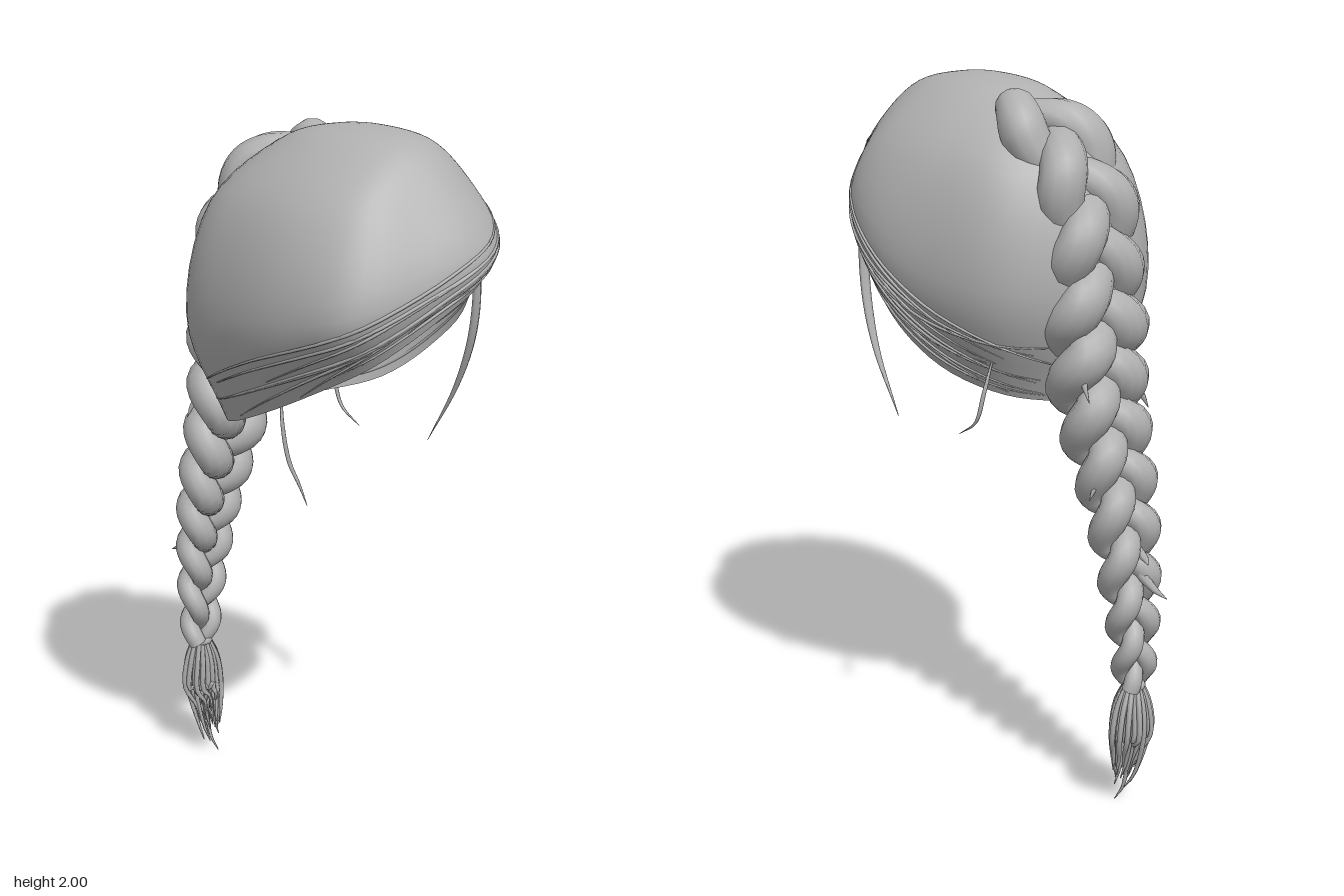
import * as THREE from 'three';

const V = (x, y, z) => new THREE.Vector3(x, y, z);
const curve = (a, closed = false) => {
  const pts = [];
  for (let i = 0; i < a.length; i += 3) pts.push(V(a[i], a[i + 1], a[i + 2]));
  return new THREE.CatmullRomCurve3(pts, closed);
};

let seed = 7;
const rand = (a, b) => {
  seed = (seed * 16807) % 2147483647;
  return a + (b - a) * (seed / 2147483647);
};

// Indexed grid of quads, joined round in u.
function grid(nu, nv, point) {
  const pos = [], idx = [];
  for (let j = 0; j <= nv; j++)
    for (let i = 0; i < nu; i++) pos.push(...point(i / nu, j / nv).toArray());
  for (let j = 0; j < nv; j++)
    for (let i = 0; i < nu; i++) {
      const a = j * nu + i, b = j * nu + (i + 1) % nu;
      idx.push(a, a + nu, b, b, a + nu, b + nu);
    }
  const g = new THREE.BufferGeometry();
  g.setAttribute('position', new THREE.Float32BufferAttribute(pos, 3));
  g.setIndex(idx);
  g.computeVertexNormals();
  return g;
}

// Round or flattened lock of hair swept along a path, with changing radius.
function lock(path, radius, segs, sides, flat = 1) {
  const rings = [];
  for (let j = 0; j <= segs; j++) {
    const t = j / segs, e = 0.004;
    const T = path(Math.min(1, t + e)).sub(path(Math.max(0, t - e))).normalize();
    const n = V(0, 0, 0).crossVectors(T, V(1, 0, 0)).normalize();
    rings.push({ p: path(t), n, b: V(0, 0, 0).crossVectors(T, n), r: radius(t) });
  }
  return grid(sides, segs, (u, v) => {
    const { p, n, b, r } = rings[Math.round(v * segs)], a = -u * Math.PI * 2;
    return p.clone().addScaledVector(n, Math.cos(a) * r * flat).addScaledVector(b, Math.sin(a) * r);
  });
}

// Rings of the cap, running from the front towards +x and round the back.
const N = 15;
const rim = curve([
  0, 1.61, .53, .1, 1.66, .5, .2, 1.72, .37, .265, 1.5, .33, .3, 1.36, .2,
  .27, 1.24, .04, .2, 1.18, -.14, .08, 1.16, -.25, 0, 1.15, -.27, -.08, 1.16, -.25,
  -.2, 1.18, -.14, -.28, 1.25, .04, -.29, 1.34, .23, -.25, 1.43, .39, -.14, 1.53, .49], true);
const belly = curve([
  0, 1.69, .56, .11, 1.73, .52, .21, 1.79, .385, .32, 1.67, .34, .38, 1.58, .2,
  .365, 1.5, .02, .29, 1.46, -.2, .15, 1.46, -.32, 0, 1.46, -.345, -.15, 1.46, -.32,
  -.29, 1.46, -.2, -.37, 1.5, .02, -.385, 1.52, .22, -.35, 1.55, .385, -.18, 1.62, .5], true);
const brow = curve([
  0, 1.87, .455, .11, 1.87, .42, .2, 1.86, .35, .275, 1.83, .28, .305, 1.81, .17,
  .295, 1.8, .02, .24, 1.79, -.15, .11, 1.79, -.255, 0, 1.79, -.275, -.11, 1.79, -.255,
  -.24, 1.79, -.15, -.3, 1.8, .02, -.315, 1.8, .19, -.26, 1.81, .34, -.13, 1.84, .42], true);

function meridian(u) {
  u = ((u % 1) + 1) % 1;
  const a = u * Math.PI * 2;
  const ring = (r, y) => V(Math.sin(a) * r * .7, y, .15 + Math.cos(a) * r);
  return new THREE.CatmullRomCurve3([V(0, 2, .15), ring(.07, 1.997), ring(.21, 1.963),
    brow.getPoint(u), belly.getPoint(u), rim.getPoint(u)]);
}

export function createModel() {
  const hair = new THREE.MeshStandardMaterial({ color: 0xb0b0b0, side: THREE.DoubleSide });
  const model = new THREE.Group();
  const group = name => {
    const g = new THREE.Group();
    g.name = name;
    model.add(g);
    return g;
  };
  const add = (parent, name, geometry) => {
    const m = new THREE.Mesh(geometry, hair);
    m.name = name;
    parent.add(m);
    return m;
  };

  // Smooth open cap with a swept fringe
  const lines = Array.from({ length: 75 }, (_, i) => meridian(i / 75));
  add(model, 'hairCap', grid(75, 28, (u, v) => lines[Math.round(u * 75)].getPoint(v)));

  // Fine strands combed from the parting along the rim, both ways
  const strands = group('rimStrands');
  for (let i = 0; i < 24; i++) {
    const fringe = i % 2 === 0;
    const u0 = (fringe ? 1.9 : 2.2) / N;
    const u1 = u0 + (fringe ? -rand(3, 8) : rand(3, 5.5)) / N;
    const v0 = rand(.7, .98), v1 = rand(.88, 1);
    const pts = Array.from({ length: 13 }, (_, k) => {
      const t = k / 12;
      const p = meridian(u0 + (u1 - u0) * t).getPoint(v0 + (v1 - v0) * t);
      return p.add(p.clone().sub(V(0, 1.6, .1)).normalize().multiplyScalar(.001));
    });
    const c = new THREE.CatmullRomCurve3(pts);
    add(strands, 'rimStrand',
      lock(t => c.getPoint(t), t => .001 + .004 * Math.sin(Math.PI * t), 30, 5));
  }

  // Three-strand braid, lying flat on the head and hanging free below
  const spine = curve([
    .065, 1.945, -.03, .05, 1.885, -.14, .035, 1.775, -.24, .03, 1.63, -.295, .03, 1.45, -.305,
    .03, 1.28, -.31, .025, 1.12, -.34, .02, .95, -.385, .025, .8, -.425, .03, .62, -.455,
    .02, .47, -.46, .015, .37, -.455]);
  const free = s => THREE.MathUtils.smoothstep(s, .32, .45);
  const width = s => {
    const taper = THREE.MathUtils.lerp(.155, .06, Math.max(0, (s - .4) / .6));
    return taper * Math.min(1, .7 + s * 4) * (1 + .08 * free(s));
  };
  const braid = group('braid');
  const turns = s => Math.PI * 2 * 3.75 * Math.pow(s, 1.22);
  for (let k = 0; k < 3; k++) {
    const phase = k * Math.PI * 2 / 3 + .5;
    const path = s => {
      const T = spine.getTangentAt(s), w = width(s), a = turns(s) + phase;
      const out = V(0, 0, 0).crossVectors(V(1, 0, 0), T).normalize();
      return spine.getPointAt(s)
        .add(V(Math.sin(a) * w * .57, 0, 0))
        .addScaledVector(out, Math.sin(2 * a) * w * (.18 + .1 * free(s)));
    };
    // Each strand swells at the outer bends and narrows at the crossings
    const radius = s => {
      const swell = .36 + .09 * Math.abs(Math.sin(turns(s) + phase));
      return width(s) * swell * Math.min(1, .25 + s * 25);
    };
    add(braid, 'braidStrand', lock(path, radius, 150, 12, .86));
  }

  // Short loose ends poking out of the braid
  const ends = [
    [.03, .8, -.44, .03, .76, -.5, .04, .75, -.52],
    [.02, .72, -.46, .01, .67, -.52, 0, .65, -.555],
    [.08, 1.02, -.39, .12, .97, -.4, .145, .93, -.4],
    [-.05, 1.2, -.34, -.09, 1.17, -.37, -.11, 1.13, -.38],
    [.1, 1.3, -.33, .14, 1.25, -.37, .15, 1.2, -.4]];
  const loose = group('looseEnds');
  for (const e of ends) {
    const c = curve(e);
    add(loose, 'looseEnd', lock(t => c.getPoint(t), t => .018 * (1 - t) + .001, 8, 6));
  }

  // Tie and brush of hair at the bottom
  const tie = add(model, 'braidTie', new THREE.TorusGeometry(.022, .012, 8, 20));
  tie.rotation.x = Math.PI / 2;
  tie.position.set(.015, .37, -.455);
  const tuft = group('tuft');
  for (let i = 0; i < 48; i++) {
    const a = i * 2.4, q = Math.sqrt((i + .5) / 48);
    const x = Math.cos(a) * q, z = Math.sin(a) * q;
    const tip = i === 0 ? 0 : rand(.04, .2);
    const c = curve([
      .015 + x * .018, .385, -.455 + z * .018,
      .02 + x * .055, .31, -.455 + z * .048,
      .02 + x * .068, .22, -.452 + z * .055,
      .016 + x * .042, tip + .05, -.43 + z * .04,
      .016 + x * .032 + rand(-.01, .01), tip, -.405 - tip * .2 + z * .025]);
    add(tuft, 'tuftStrand',
      lock(t => c.getPoint(t), t => .0015 + .007 * Math.sin(Math.PI * Math.min(1, .25 + t * .75)), 14, 5));
  }

  // Loose wisps beside the face and neck: path, half width
  const wisps = group('wisps');
  const wispData = [
    [[.22, 1.74, .355, .24, 1.6, .375, .26, 1.42, .355, .283, 1.25, .29, .292, 1.07, .19], .015],
    [[-.27, 1.3, .1, -.28, 1.24, .11, -.265, 1.13, .12, -.245, 1.06, .14, -.25, 1.01, .17], .006],
    [[.25, 1.28, -.14, .28, 1.2, -.14, .29, 1.12, -.12, .285, 1.07, -.05], .006]];
  for (const [pts, w] of wispData) {
    const c = curve(pts);
    add(wisps, 'wisp',
      lock(t => c.getPoint(t), t => .001 + w * Math.sin(Math.PI * (.12 + t * .88)), 24, 6, .7));
  }
  return model;
}
